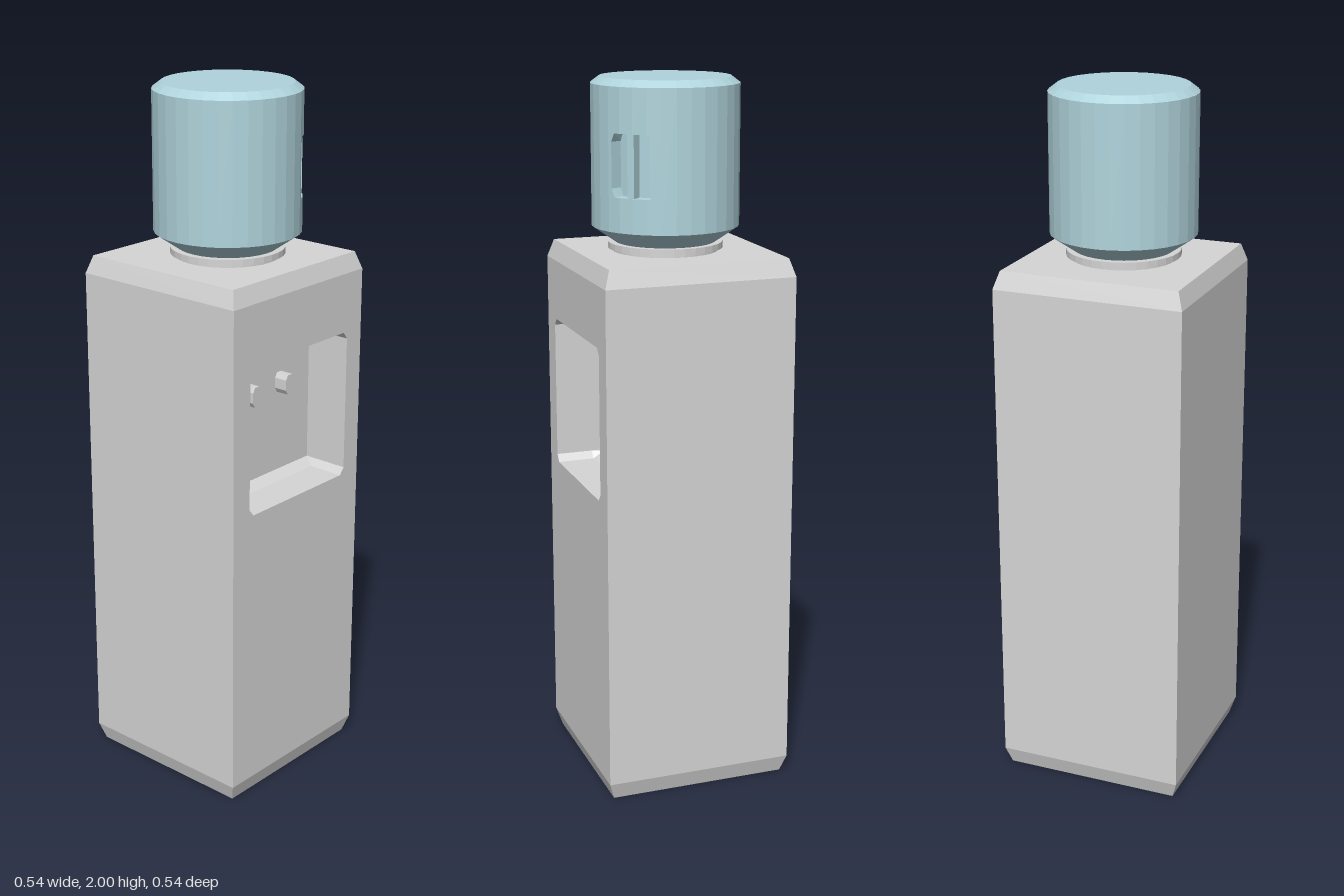
import * as THREE from 'three';

const casing = new THREE.MeshStandardMaterial({ color: 0xd6d6d6 });
casing.name = 'light grey casing';
const water = new THREE.MeshStandardMaterial({ color: 0xb0d4dc });
water.name = 'pale blue bottle';

const deg = THREE.MathUtils.degToRad;

// Adds a faceted mesh to a group
function add(parent, name, geometry, material) {
  const g = geometry.index ? geometry.toNonIndexed() : geometry;
  g.computeVertexNormals();
  const mesh = new THREE.Mesh(g, material);
  mesh.name = name;
  parent.add(mesh);
  return mesh;
}

// Geometry from a list of four-cornered faces
function quads(list) {
  const pos = [];
  for (const [a, b, c, d] of list) for (const p of [a, b, c, a, c, d]) pos.push(...p);
  const g = new THREE.BufferGeometry();
  g.setAttribute('position', new THREE.Float32BufferAttribute(pos, 3));
  return g;
}

// Faces joining consecutive closed loops of points
function joinLoops(loops) {
  const faces = [];
  for (let k = 0; k + 1 < loops.length; k++) {
    const n = loops[k].length;
    for (let i = 0; i < n; i++) {
      const j = (i + 1) % n;
      faces.push([loops[k][i], loops[k][j], loops[k + 1][j], loops[k + 1][i]]);
    }
  }
  return faces;
}

const lathe = (pts, n) => new THREE.LatheGeometry(pts.map(p => new THREE.Vector2(...p)), n);

function octagon(x0, x1, y0, y1, cx, cy) {
  return [[x0, y0 + cy], [x0 + cx, y0], [x1 - cx, y0], [x1, y0 + cy],
    [x1, y1 - cy], [x1 - cx, y1], [x0 + cx, y1], [x0, y1 - cy]];
}

function buildCabinet() {
  const cabinet = new THREE.Group();
  cabinet.name = 'cabinet';
  const H = 0.272, T = 0.256, top = 1.525, lo = 0.05, hi = 1.475, q = Math.SQRT2;

  // Bevelled ends and the three plain sides
  add(cabinet, 'cabinetBase', lathe([[0, 0], [T * q, 0], [H * q, lo]], 4).rotateY(Math.PI / 4), casing);
  add(cabinet, 'cabinetTop', lathe([[H * q, hi], [T * q, top], [0, top]], 4).rotateY(Math.PI / 4), casing);
  add(cabinet, 'cabinetSides', new THREE.CylinderGeometry(H * q, H * q, hi - lo, 3, 1, true, Math.PI / 4, Math.PI * 1.5)
    .translate(0, (hi + lo) / 2, 0), casing);

  // Front panel with the dispensing opening
  const y0 = 0.875, y1 = 1.305, c = 0.02, back = H - 0.136;
  const opening = octagon(-0.205, 0.21, y0, y1, 0.016, c);
  const panel = new THREE.Shape([[-H, lo], [H, lo], [H, hi], [-H, hi]].map(p => new THREE.Vector2(...p)));
  panel.holes.push(new THREE.Path(opening.map(p => new THREE.Vector2(...p))));
  add(cabinet, 'frontPanel', new THREE.ShapeGeometry(panel).translate(0, 0, H), casing);

  // Recess with sloped edges above and below the back wall
  const end = opening.map(([x, y]) => [x, THREE.MathUtils.clamp(y, y0 + c, y1 - c), back]);
  const recess = joinLoops([
    opening.map(([x, y]) => [x, y, H]),
    opening.map(([x, y]) => [x, y, back + 0.03]),
    end,
  ]);
  recess.push([end[0], end[3], end[4], end[7]]);
  add(cabinet, 'dispenserRecess', quads(recess), casing);

  // Pair of taps
  for (const [x, name] of [[-0.064, 'rightTap'], [0.078, 'leftTap']]) {
    const outline = octagon(-0.017, 0.017, 1.132, 1.19, 0.008, 0.014);
    const shape = new THREE.Shape(outline.map(p => new THREE.Vector2(...p)));
    add(cabinet, name, new THREE.ExtrudeGeometry(shape, { depth: 0.042, bevelEnabled: false }), casing)
      .position.set(x, 0, back - 0.002);
  }
  return cabinet;
}

function buildBottle() {
  const bottle = new THREE.Group();
  bottle.name = 'bottle';
  const R = 0.205, N = 32, step = 360 / N, lo = 1.595, hi = 1.982;

  // Collar holding the bottle
  add(bottle, 'collar', lathe([[0.148, 1.52], [0.148, 1.532], [0.16, 1.532], [0.16, 1.55], [0.13, 1.55]], N), casing);

  // Tapered shoulder and bevelled top
  add(bottle, 'bottleShoulder', lathe([[0, 1.54], [0.135, 1.54], [0.14, 1.55], [R, lo]], N), water);
  add(bottle, 'bottleTop', lathe([[R, hi], [0.181, 2], [0, 2]], N), water);

  // Wall, leaving out the four facets that carry the grip
  add(bottle, 'bottleWall', new THREE.CylinderGeometry(R, R, hi - lo, N - 4, 1, true, deg(67.5), deg(315))
    .translate(0, (hi + lo) / 2, 0), water);

  // Point on the faceted wall at an angle from the front, set in by a depth
  const at = (t, y, inset = 0) => {
    const r = R * Math.cos(deg(step / 2)) / Math.cos(deg((t % step) - step / 2)) - inset;
    return [r * Math.sin(deg(t)), y, r * Math.cos(deg(t))];
  };
  const mid = 1.775, depth = 0.035;
  const slot = [[25.5, 0.062], [28.5, 0.085], [33.75, 0.085], [45, 0.085], [56.25, 0.085], [59, 0.085], [62, 0.062]];
  const cols = [[22.5, 0], ...slot, [67.5, 0]];
  const wall = [], pocket = [];
  for (let i = 0; i + 1 < cols.length; i++) {
    const [a, ha] = cols[i], [b, hb] = cols[i + 1];
    const edge = i === 0 || i === cols.length - 2;
    // Plain strips beside the slot use the slot end height on both sides
    const h = Math.max(ha, hb), p = edge ? h : ha, s = edge ? h : hb;
    wall.push([at(a, lo), at(b, lo), at(b, mid - s), at(a, mid - p)]);
    wall.push([at(a, mid + p), at(b, mid + s), at(b, hi), at(a, hi)]);
    const inset = edge ? 0 : depth;
    (edge ? wall : pocket).push([at(a, mid - p, inset), at(b, mid - s, inset), at(b, mid + s, inset), at(a, mid + p, inset)]);
  }
  const rim = [...slot.map(([t, h]) => [t, mid - h]), ...slot.map(([t, h]) => [t, mid + h]).reverse()];
  pocket.push(...joinLoops([0, depth].map(d => rim.map(([t, y]) => at(t, y, d)))));
  add(bottle, 'gripWall', quads(wall), water);
  add(bottle, 'gripPocket', quads(pocket), water);

  // Upright grip bar across the pocket
  const bar = add(bottle, 'gripBar', new THREE.BoxGeometry(0.02, 0.17, 0.04), water);
  bar.position.set(0.181 * Math.sin(deg(43)), mid, 0.181 * Math.cos(deg(43)));
  bar.rotation.y = deg(43);

  bottle.position.set(0.003, 0, 0.009);
  return bottle;
}

export function createModel() {
  const model = new THREE.Group();
  model.name = 'waterCooler';
  model.add(buildCabinet(), buildBottle());
  return model;
}
